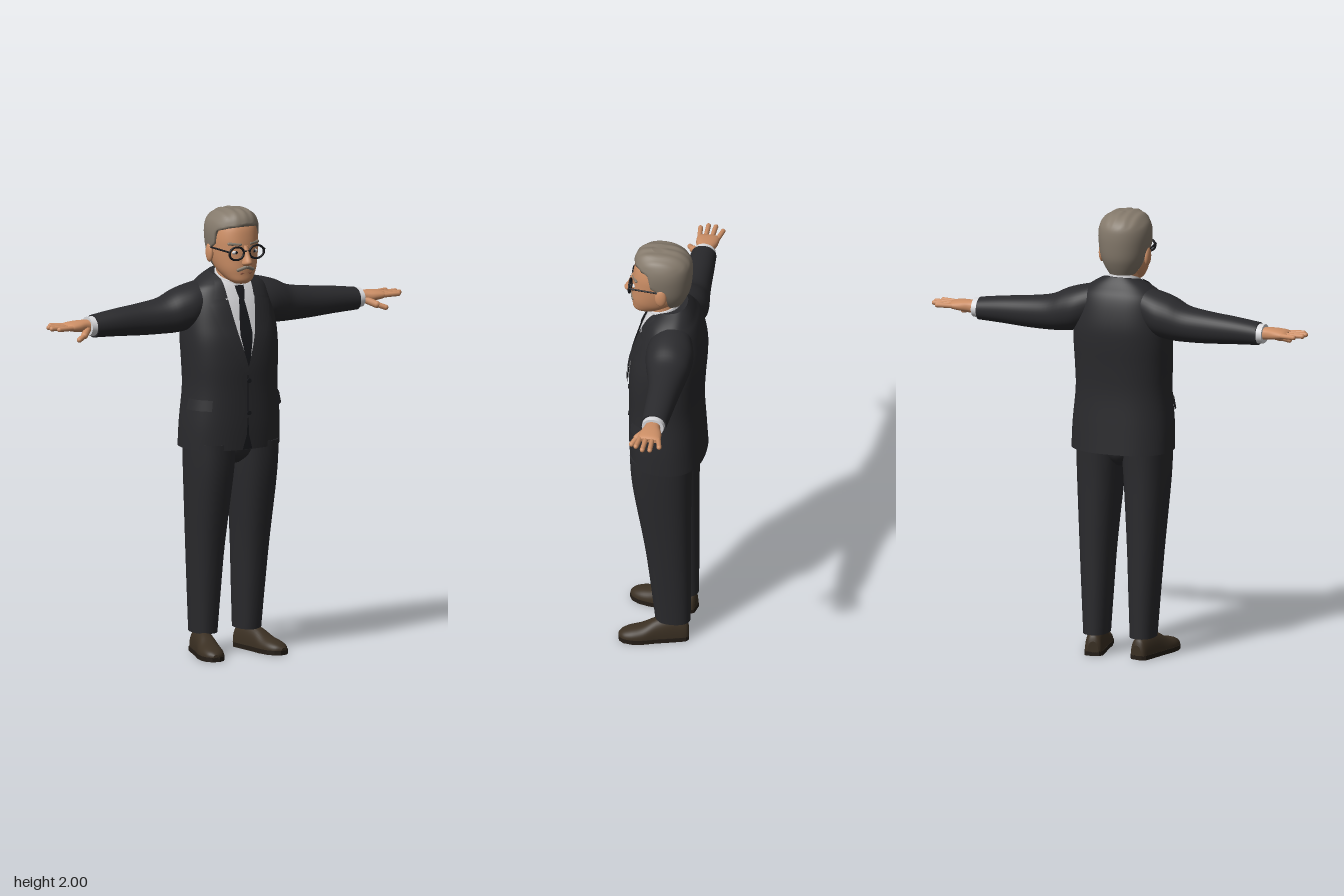
import * as THREE from 'three';

const V = (x, y, z) => new THREE.Vector3(x, y, z);
const mat = (name, color, side = THREE.FrontSide) => new THREE.MeshStandardMaterial({ name, color, side });

// Smooth (Catmull-Rom) subdivision of cross-section rows
function dense(rows, n = 4) {
  const out = [];
  const at = i => rows[Math.min(Math.max(i, 0), rows.length - 1)];
  for (let i = 0; i < rows.length - 1; i++) for (let k = 0; k < n; k++) {
    const t = k / n, [a, b, c, d] = [at(i - 1), at(i), at(i + 1), at(i + 2)];
    out.push(b.map((_, j) => b[j] + 0.5 * t * (c[j] - a[j] + t * (2 * a[j] - 5 * b[j] + 4 * c[j] - d[j]
      + t * (3 * (b[j] - c[j]) + d[j] - a[j])))));
  }
  out.push(rows[rows.length - 1]);
  return out;
}
const sp = (s, p) => Math.sign(s) * Math.abs(s) ** (2 / p);

// Closed loft along an axis; row = [position, centreA, centreB, radiusA, radiusB]
function loft(axis, rows, { p = 2, seg = 40, post = null } = {}) {
  const pos = [], idx = [], D = dense(rows);
  const put = (t, a, b) => {
    const v = axis === 'y' ? V(a, t, b) : axis === 'x' ? V(t, a, b) : V(a, b, t);
    if (post) post(v);
    pos.push(v.x, v.y, v.z);
  };
  const ring = r => {
    for (let i = 0; i < seg; i++) {
      const a = i / seg * Math.PI * 2;
      put(r[0], r[1] + r[3] * sp(Math.cos(a), p), r[2] + r[4] * sp(Math.sin(a), p));
    }
  };
  D.forEach(ring);
  for (let j = 0; j < D.length - 1; j++) for (let i = 0; i < seg; i++) {
    const a = j * seg + i, b = j * seg + (i + 1) % seg;
    idx.push(a, a + seg, b, b, a + seg, b + seg);
  }
  [D[0], D[D.length - 1]].forEach((r, e) => {
    const s = pos.length / 3;
    ring(r);
    put(r[0], r[1], r[2]);
    for (let i = 0; i < seg; i++) {
      const a = s + i, b = s + (i + 1) % seg;
      e ? idx.push(a, s + seg, b) : idx.push(a, b, s + seg);
    }
  });
  // Turn faces outward if the enclosed volume is negative
  let vol = 0;
  const P = i => V(pos[3 * i], pos[3 * i + 1], pos[3 * i + 2]);
  for (let i = 0; i < idx.length; i += 3) vol += P(idx[i]).dot(P(idx[i + 1]).cross(P(idx[i + 2])));
  if (vol < 0) idx.reverse();
  return build(pos, idx);
}
function build(pos, idx) {
  const g = new THREE.BufferGeometry();
  g.setAttribute('position', new THREE.Float32BufferAttribute(pos, 3));
  g.setIndex(idx);
  g.computeVertexNormals();
  return g;
}
// Open grid surface from a function of u, v
function surf(fn, nu = 8, nv = 20) {
  const pos = [], idx = [], w = nu + 1;
  for (let j = 0; j <= nv; j++) for (let i = 0; i <= nu; i++) pos.push(...fn(i / nu, j / nv).toArray());
  for (let j = 0; j < nv; j++) for (let i = 0; i < nu; i++) {
    const a = j * w + i;
    idx.push(a, a + w, a + 1, a + 1, a + w, a + w + 1);
  }
  return build(pos, idx);
}
function mirrored(g) {
  const m = g.clone().scale(-1, 1, 1);
  m.setIndex([...g.index.array].reverse());
  return m;
}
function capsule(a, b, r) {
  const d = b.clone().sub(a);
  return new THREE.CapsuleGeometry(r, d.length(), 5, 12)
    .applyQuaternion(new THREE.Quaternion().setFromUnitVectors(V(0, 1, 0), d.clone().normalize()))
    .translate(...a.clone().add(b).multiplyScalar(0.5).toArray());
}
const ball = (c, s) => new THREE.SphereGeometry(1, 20, 14).scale(...s).translate(...c);

// Jacket body rows, also used to lay details on the cloth
const TP = 2.4;
const torso = [[0.935, 0.23, 0.15, -0.185], [1.05, 0.227, 0.155, -0.178], [1.2, 0.214, 0.155, -0.17],
  [1.32, 0.217, 0.156, -0.175], [1.42, 0.22, 0.146, -0.183], [1.5, 0.215, 0.125, -0.184],
  [1.58, 0.2, 0.1, -0.17], [1.64, 0.18, 0.073, -0.15], [1.675, 0.135, 0.052, -0.125], [1.7, 0.082, 0.03, -0.1]]
  .map(([y, w, f, b]) => [y, 0, (f + b) / 2, w, (f - b) / 2]);
const torsoDense = dense(torso, 8);
function torsoRow(y) {
  const i = Math.max(1, torsoDense.findIndex(r => r[0] >= y));
  const a = torsoDense[i - 1], b = torsoDense[i], t = (y - a[0]) / (b[0] - a[0]);
  return a.map((s, j) => s + (b[j] - s) * t);
}
function onFront(x, y, off) {
  const r = torsoRow(y), k = Math.min(1, Math.abs(x) / r[3]);
  return V(x, y, r[2] + r[4] * (1 - k ** TP) ** (1 / TP) + off);
}
// Cloth patch between two edge polylines on the jacket front
function patch(left, right, off) {
  const at = (pts, v) => {
    const s = v * (pts.length - 1), i = Math.min(Math.floor(s), pts.length - 2), t = s - i;
    return [0, 1].map(k => pts[i][k] + (pts[i + 1][k] - pts[i][k]) * t);
  };
  return surf((u, v) => {
    const a = at(left, v), b = at(right, v);
    return onFront(a[0] + (b[0] - a[0]) * u, a[1] + (b[1] - a[1]) * u, off);
  });
}
const flip = pts => pts.map(([x, y]) => [-x, y]);

export function createModel() {
  const model = new THREE.Group();
  model.name = 'manInSuit';
  const suit = mat('suitCharcoal', 0x2a2a2d, THREE.DoubleSide), shirt = mat('shirtWhite', 0xdadadd, THREE.DoubleSide);
  const dark = mat('tieBlack', 0x17181c, THREE.DoubleSide), skin = mat('skin', 0xcd8f66);
  const grey = mat('hairGrey', 0x857a6c), brown = mat('shoeBrown', 0x3b3023), sole = mat('soleBrown', 0x251e17);
  const lip = mat('lips', 0x9c5f48);
  const add = (name, geo, m, pair = false) => {
    const put = (g, n) => { const o = new THREE.Mesh(g, m); o.name = n; model.add(o); };
    put(geo, pair ? name + 'Left' : name);
    if (pair) put(mirrored(geo), name + 'Right');
  };

  // Jacket
  add('jacketBody', loft('y', torso, { p: TP, seg: 64, post: v => {
    v.y -= v.z * 0.2 * THREE.MathUtils.clamp((v.y - 1.66) / 0.04, 0, 1);
  } }), suit);
  add('sleeve', loft('x', [[0.09, 1.6, -0.05, 0.082, 0.08], [0.18, 1.565, -0.052, 0.098, 0.105],
    [0.25, 1.547, -0.055, 0.095, 0.1], [0.32, 1.53, -0.06, 0.08, 0.085], [0.42, 1.523, -0.063, 0.071, 0.071],
    [0.55, 1.52, -0.062, 0.06, 0.063], [0.66, 1.515, -0.06, 0.05, 0.056]], { p: 2.1 }), suit, true);
  add('jacketCollar', patch([[0.07, 1.69], [0.066, 1.61]], [[0.1, 1.682], [0.13, 1.606]], 0.011), suit, true);
  add('lapel', patch([[0.066, 1.605], [0.055, 1.53], [0.04, 1.45], [-0.002, 1.3]],
    [[0.15, 1.59], [0.135, 1.52], [0.1, 1.43], [0.008, 1.265]], 0.012), suit, true);
  add('pocketFlap', surf((u, v) => {
    const y = 1.115 + 0.048 * v, a = 0.1 + 0.75 * u, r = torsoRow(y), o = 0.01 - 0.005 * v;
    return V((r[3] + o) * sp(Math.cos(a), TP), y, r[2] + (r[4] + o) * sp(Math.sin(a), TP));
  }, 14, 4), suit, true);
  add('breastPocket', patch([[0.085, 1.495], [0.085, 1.475]], [[0.15, 1.51], [0.15, 1.49]], 0.007), suit);
  add('frontSeam', patch([[-0.002, 1.27], [-0.001, 1.1]], [[0.002, 1.27], [0.003, 1.1]], 0.004), dark);
  add('frontOpening', patch([[0, 1.08], [-0.004, 1], [-0.022, 0.937]], [[0.003, 1.08], [0.008, 1], [0.026, 0.937]], 0.003), dark);
  for (const y of [1.245, 1.1]) {
    add('jacketButton', new THREE.CylinderGeometry(0.01, 0.01, 0.008, 16).rotateX(Math.PI / 2)
      .translate(...onFront(0.006, y, 0.005).toArray()), dark);
  }

  // Shirt and tie
  const opening = [[0.075, 1.675], [0.072, 1.6], [0.046, 1.45], [0.004, 1.3]];
  add('shirtFront', patch(flip(opening), opening, 0.004), shirt);
  add('shirtCollar', loft('y', [[1.64, 0, 0, 0.078, 0.078], [1.675, 0, 0, 0.074, 0.073], [1.703, 0, 0, 0.07, 0.07]],
    { post: v => { v.y -= v.z * 0.42; } }), shirt);
  add('collarWing', patch([[0.01, 1.665], [0.042, 1.59]], [[0.07, 1.685], [0.066, 1.62]], 0.01), shirt, true);
  const knot = [[0.022, 1.66], [0.02, 1.635], [0.012, 1.6]];
  add('tieKnot', patch(flip(knot), knot, 0.017), dark);
  const blade = [[0.012, 1.605], [0.024, 1.52], [0.031, 1.45], [0.004, 1.3]];
  add('tieBlade', patch(flip(blade), blade, 0.009), dark);

  // Trousers
  add('trouserLeg', loft('y', [[0.095, 0.11, -0.053, 0.056, 0.078], [0.3, 0.111, -0.042, 0.067, 0.09],
    [0.5, 0.112, -0.029, 0.078, 0.103], [0.8, 0.11, -0.004, 0.098, 0.13], [0.96, 0.106, 0, 0.107, 0.139]],
  { p: 2.3 }), suit, true);
  add('trouserSeat', loft('y', [[0.86, 0, -0.005, 0.04, 0.06], [0.9, 0, 0, 0.09, 0.11], [0.96, 0, 0, 0.15, 0.13]]), suit);

  // Shoes: [z, half width, top height], turned slightly outward
  const shoe = [[-0.125, 0.024, 0.065], [-0.11, 0.038, 0.095], [-0.05, 0.043, 0.112], [0.02, 0.047, 0.1],
    [0.08, 0.054, 0.07], [0.13, 0.051, 0.058], [0.165, 0.037, 0.046], [0.184, 0.014, 0.032]];
  const place = g => g.rotateY(0.22).translate(0.13, 0, 0);
  add('shoe', place(loft('z', shoe.map(([z, w, t]) => [z, 0, 0.018, w, t - 0.018]),
    { p: 2.3, post: v => { v.y = Math.max(v.y, 0.016); } })), brown, true);
  const edge = shoe.map(([z, w]) => new THREE.Vector2(w + 0.003, -z));
  const outline = new THREE.Shape([...edge, ...edge.map(q => new THREE.Vector2(-q.x, q.y)).reverse()]);
  const soleGeo = new THREE.ExtrudeGeometry(outline, { depth: 0.02, bevelEnabled: false });
  soleGeo.setIndex([...Array(soleGeo.attributes.position.count).keys()]);
  add('shoeSole', place(soleGeo.rotateX(-Math.PI / 2)), sole, true);

  // Cuffs and hands
  add('shirtCuff', loft('x', [[0.64, 1.515, -0.06, 0.045, 0.051], [0.686, 1.517, -0.06, 0.042, 0.049]]), shirt, true);
  add('palm', loft('x', [[0.66, 1.518, -0.06, 0.027, 0.032], [0.7, 1.52, -0.06, 0.027, 0.036],
    [0.74, 1.522, -0.06, 0.024, 0.048], [0.78, 1.523, -0.06, 0.018, 0.051], [0.797, 1.523, -0.06, 0.01, 0.044]],
  { p: 2.4, seg: 24 }), skin, true);
  [[-0.099, -0.115, 0.842], [-0.074, -0.078, 0.87], [-0.047, -0.045, 0.873], [-0.022, -0.013, 0.852]]
    .forEach(([z0, z1, x]) => add('finger', capsule(V(0.77, 1.523, z0), V(x, 1.525, z1), 0.011), skin, true));
  add('thumb', capsule(V(0.7, 1.508, -0.035), V(0.735, 1.49, 0.002), 0.016), skin, true);
  add('thumbTip', capsule(V(0.735, 1.49, 0.002), V(0.77, 1.477, 0.02), 0.012), skin, true);

  // Neck and head
  add('neck', loft('y', [[1.62, 0, 0, 0.06, 0.06], [1.68, 0, 0, 0.06, 0.062], [1.76, 0, -0.005, 0.065, 0.065]]), skin);
  add('head', loft('y', [[1.675, 0, 0.09, 0.03, 0.035], [1.69, 0, 0.08, 0.054, 0.062], [1.72, 0, 0.055, 0.076, 0.09],
    [1.75, 0, 0.04, 0.089, 0.107], [1.79, 0, 0.03, 0.098, 0.115], [1.83, 0, 0.025, 0.102, 0.12],
    [1.88, 0, 0.02, 0.104, 0.12], [1.93, 0, 0.015, 0.095, 0.112], [1.965, 0, 0.01, 0.07, 0.085],
    [1.98, 0, 0.005, 0.03, 0.04]], { p: 2.2 }), skin);
  add('ear', ball([0.107, 1.805, 0.003], [0.014, 0.043, 0.026]), skin, true);
  add('nose', loft('y', [[1.85, 0, 0.138, 0.011, 0.01], [1.81, 0, 0.146, 0.013, 0.02], [1.78, 0, 0.152, 0.021, 0.031],
    [1.768, 0, 0.15, 0.022, 0.026], [1.76, 0, 0.146, 0.014, 0.012]], { seg: 20 }), skin);
  add('eyeWhite', ball([0.046, 1.82, 0.13], [0.018, 0.009, 0.009]), shirt, true);
  add('pupil', ball([0.045, 1.82, 0.136], [0.007, 0.007, 0.005]), dark, true);
  add('eyebrow', capsule(V(0.025, 1.855, 0.137), V(0.072, 1.858, 0.118), 0.007), grey, true);
  add('moustache', capsule(V(0.004, 1.753, 0.147), V(0.036, 1.741, 0.137), 0.008), grey, true);
  add('mouth', capsule(V(-0.022, 1.726, 0.139), V(0.022, 1.726, 0.139), 0.006), lip);

  // Hair: front is cut back along the hairline
  const hairline = [[1.7, -0.03], [1.81, -0.02], [1.85, 0.05], [1.91, 0.06], [1.935, 0.14], [2.1, 0.14]];
  add('hair', loft('y', [[1.725, 0, -0.03, 0.058, 0.05], [1.76, 0, -0.01, 0.085, 0.088], [1.8, 0, 0.005, 0.104, 0.118],
    [1.85, 0, 0.01, 0.114, 0.13], [1.9, 0, 0.01, 0.117, 0.132], [1.94, 0, 0.01, 0.11, 0.126],
    [1.97, 0, 0.015, 0.093, 0.108], [1.99, 0, 0.02, 0.066, 0.078], [1.998, 0, 0.025, 0.03, 0.035]],
  { p: 2.1, seg: 64, post: v => {
    const i = hairline.findIndex(h => h[0] > v.y), [a, b] = [hairline[i - 1], hairline[i]];
    v.z = Math.min(v.z, a[1] + (b[1] - a[1]) * (v.y - a[0]) / (b[0] - a[0]));
    if (v.y > 1.94) v.y += 0.002 * Math.sin(v.x * 150);
  } }), grey);

  // Glasses
  add('glassesRim', new THREE.TorusGeometry(0.029, 0.0045, 10, 36).scale(1.25, 1, 1).translate(0.05, 1.818, 0.149), dark, true);
  add('glassesBridge', capsule(V(-0.014, 1.826, 0.154), V(0.014, 1.826, 0.154), 0.004), dark);
  add('glassesTemple', capsule(V(0.09, 1.828, 0.147), V(0.113, 1.832, 0), 0.004), dark, true);
  return model;
}
